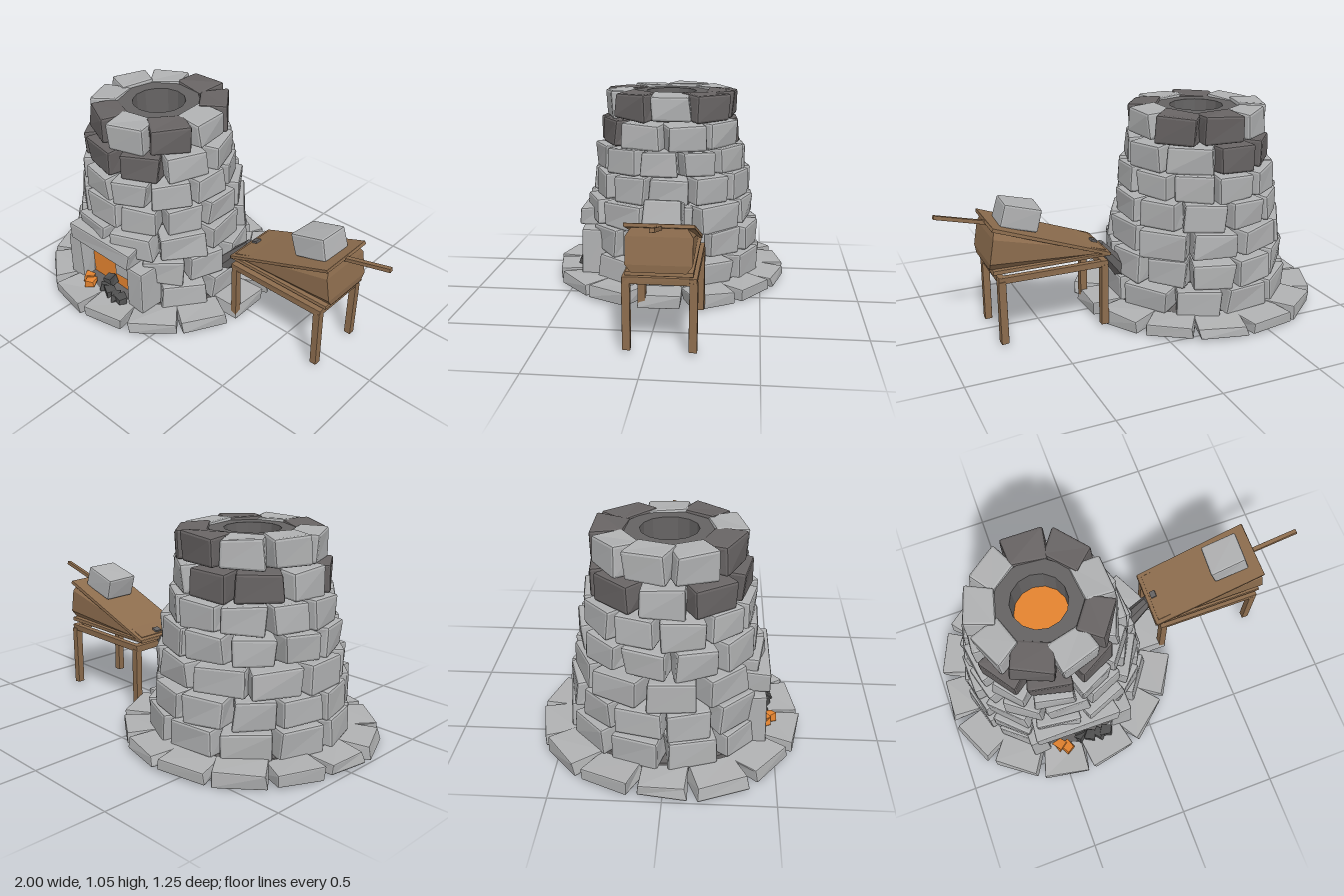
import * as THREE from 'three';
import { RoundedBoxGeometry } from 'three/addons/geometries/RoundedBoxGeometry.js';
import { ConvexGeometry } from 'three/addons/geometries/ConvexGeometry.js';

const mat = (name, color) => {
  const m = new THREE.MeshStandardMaterial({ color, flatShading: true });
  m.name = name;
  return m;
};

export function createModel() {
  const stone = mat('stone', 0xb0b1b2);
  const sooty = mat('sootyStone', 0x686464);
  const lining = mat('furnaceLining', 0x656363);
  const coalMat = mat('coal', 0x505050);
  const fire = mat('fire', 0xe58430);
  const wood = mat('wood', 0x8d6d4e);

  let seed = 7;
  const rnd = () => (seed = (seed * 16807) % 2147483647) / 2147483647;
  const jit = (a) => (rnd() - 0.5) * 2 * a;

  const model = new THREE.Group();
  model.name = 'bloomeryFurnace';
  const add = (name, geo, material, parent, x = 0, y = 0, z = 0) => {
    const m = new THREE.Mesh(geo, material);
    m.name = name;
    m.position.set(x, y, z);
    parent.add(m);
    return m;
  };
  const group = (name) => {
    const g = new THREE.Group();
    g.name = name;
    model.add(g);
    return g;
  };

  // Chamfered block with each corner nudged and the back narrowed
  const block = (w, h, d, wobble = 0.009, taper = 0.92) => {
    const g = new RoundedBoxGeometry(w, h, d, 1, Math.min(w, h, d) * 0.09);
    const nudge = Array.from({ length: 8 }, () => [jit(wobble), jit(wobble), jit(wobble)]);
    const p = g.attributes.position;
    for (let i = 0; i < p.count; i++) {
      const x = p.getX(i), y = p.getY(i), z = p.getZ(i);
      const n = nudge[(x > 0) + 2 * (y > 0) + 4 * (z > 0)];
      p.setXYZ(i, x * (z < 0 ? taper : 1) + n[0], y + n[1], z + n[2]);
    }
    g.computeVertexNormals();
    return g;
  };

  const CX = -0.38, RAD = Math.PI / 180;
  const tower = group('tower');

  // Rings of stones: [name, count, first angle, outer radius, bottom, top, depth, dark angles, opening]
  const courses = [
    ['baseStone', 14, 0, 0.613, 0.012, 0.078, 0.165, []],
    ['firstCourseStone', 11, 0, 0.47, 0.07, 0.2, 0.15, [], true],
    ['secondCourseStone', 12, 285, 0.457, 0.205, 0.345, 0.15, [], true],
    ['thirdCourseStone', 10, 5, 0.437, 0.345, 0.48, 0.15, []],
    ['fourthCourseStone', 11, 4, 0.412, 0.485, 0.625, 0.15, []],
    ['fifthCourseStone', 11, 356, 0.39, 0.625, 0.757, 0.15, []],
    ['sixthCourseStone', 9, 18, 0.362, 0.758, 0.895, 0.14, [98, 138, 218, 258, 298]],
    ['topCourseStone', 9, 5, 0.342, 0.903, 1.042, 0.145, [45, 85, 245, 325]],
  ];
  for (const [name, n, first, r, y0, y1, depth, dark, opening] of courses) {
    for (let i = 0; i < n; i++) {
      const deg = (first + (i * 360) / n) % 360;
      if (opening && Math.abs(deg - 270) < 25) continue;
      const w = ((2 * Math.PI * r) / n) * 0.84 + jit(0.012);
      const material = dark.some((a) => Math.abs(a - deg) < 2) ? sooty : stone;
      const a = deg * RAD, rc = r - depth / 2 + jit(0.008);
      const s = add(name, block(w, y1 - y0, depth), material, tower,
        CX + rc * Math.cos(a), (y0 + y1) / 2, -rc * Math.sin(a));
      s.rotation.y = a + Math.PI / 2 + jit(0.05);
    }
  }

  // Hollow lining with chimney mouth
  const profile = [[0, 0.012], [0.43, 0.012], [0.43, 0.06], [0.37, 0.08], [0.235, 0.9],
    [0.21, 1.03], [0.135, 1.03], [0.13, 0.88]].map(([x, y]) => new THREE.Vector2(x, y));
  add('lining', new THREE.LatheGeometry(profile, 14), lining, tower, CX);
  const ember = add('chimneyGlow', new THREE.CircleGeometry(0.135, 14), fire, tower, CX, 0.89);
  ember.rotation.x = -Math.PI / 2;

  // Hearth opening
  const hearth = group('hearth');
  add('hearthFloor', new THREE.BoxGeometry(0.42, 0.05, 0.16), lining, hearth, CX, 0.05, 0.38);
  add('lintel', block(0.44, 0.1, 0.125, 0.006, 0.95), stone, hearth, -0.385, 0.37, 0.41);
  add('leftJamb', block(0.09, 0.25, 0.14, 0.006, 1), stone, hearth, -0.597, 0.195, 0.385);
  add('rightJamb', block(0.11, 0.25, 0.14, 0.006, 1), stone, hearth, -0.147, 0.195, 0.38);
  add('innerStone', block(0.11, 0.1, 0.08, 0.005, 1), stone, hearth, -0.255, 0.262, 0.385);
  const glow = new THREE.Shape();
  glow.moveTo(-0.56, 0.07);
  glow.lineTo(-0.19, 0.07);
  glow.lineTo(-0.19, 0.315);
  glow.lineTo(-0.48, 0.315);
  glow.quadraticCurveTo(-0.55, 0.31, -0.56, 0.23);
  add('fireGlow', new THREE.ExtrudeGeometry(glow, { depth: 0.08, bevelEnabled: false, curveSegments: 4 }),
    fire, hearth, 0, 0, 0.29);

  // Coals spilling out of the hearth
  const lumps = [[-0.5, 0.1, 0.45, 0], [-0.465, 0.103, 0.475, 0], [-0.38, 0.12, 0.41, 1], [-0.385, 0.1, 0.44, 1],
    [-0.33, 0.1, 0.46, 1], [-0.28, 0.095, 0.465, 1], [-0.24, 0.1, 0.465, 1]];
  for (const [x, y, z, dark] of lumps) {
    const c = add(dark ? 'coal' : 'hotCoal', block(0.055, 0.042, 0.05, 0.008), dark ? coalMat : fire, hearth, x, y, z);
    c.rotation.y = jit(0.9);
  }

  // Bellows table
  const ZC = -0.06;
  const table = group('bellowsTable');
  for (const x of [0.222, 0.734])
    for (const s of [-1, 1])
      add('tableLeg', block(0.037, 0.32, 0.037, 0.002, 1), wood, table, x, 0.178, ZC + s * 0.147);
  for (const s of [-1, 1])
    add('longRail', block(0.55, 0.034, 0.034, 0.002, 1), wood, table, 0.477, 0.341, ZC + s * 0.147);
  for (const x of [0.222, 0.734])
    add('crossRail', block(0.034, 0.034, 0.325, 0.002, 1), wood, table, x, 0.341, ZC);

  // Bellows: boards, bulging bag, handle, spout
  const bellows = group('bellows');
  add('lowerBoard', block(0.59, 0.018, 0.295, 0.002, 1), wood, bellows, 0.475, 0.381, ZC);
  const lid = add('upperBoard', block(0.615, 0.016, 0.305, 0.002, 1), wood, bellows, 0.475, 0.489, ZC);
  lid.rotation.z = 20 * RAD;
  const bag = [];
  for (const s of [-1, 1])
    for (const [x, y, w] of [[0.2, 0.385, 0.13], [0.2, 0.4, 0.13], [0.75, 0.582, 0.12], [0.762, 0.545, 0.146],
      [0.782, 0.425, 0.146], [0.78, 0.39, 0.12]])
      bag.push(new THREE.Vector3(x, y, ZC + s * w));
  add('bag', new ConvexGeometry(bag), wood, bellows);
  const handle = add('handle', block(0.4, 0.02, 0.022, 0.002, 1), wood, bellows, 0.803, 0.594, ZC);
  handle.rotation.z = 14 * RAD;
  const peg = add('peg', new THREE.BoxGeometry(0.03, 0.02, 0.035), lining, bellows, 0.222, 0.408, -0.07);
  peg.rotation.z = 20 * RAD;
  const weight = add('weightStone', block(0.19, 0.115, 0.165, 0.005, 1), stone, bellows, 0.605, 0.605, -0.064);
  weight.rotation.z = 14 * RAD;
  const from = new THREE.Vector3(0.04, 0.2, -0.035), to = new THREE.Vector3(0.192, 0.378, ZC);
  const dir = to.clone().sub(from);
  const spout = add('spout', new THREE.CylinderGeometry(0.03, 0.05, dir.length(), 7), lining, bellows);
  spout.position.copy(from).addScaledVector(dir, 0.5);
  spout.quaternion.setFromUnitVectors(new THREE.Vector3(0, 1, 0), dir.normalize());

  return model;
}
